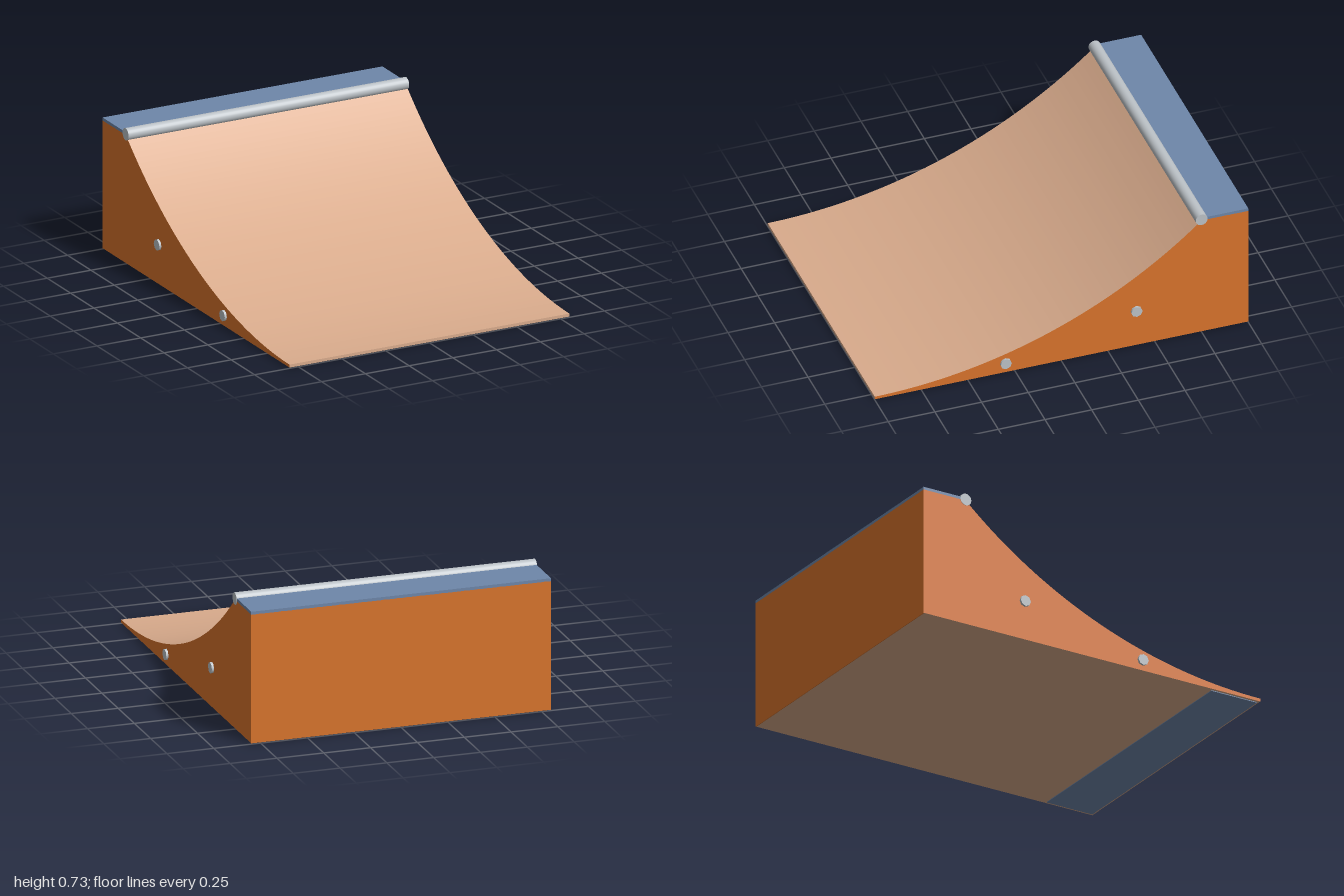
import * as THREE from 'three';

const mat = (name, color) => {
  const m = new THREE.MeshStandardMaterial({ color });
  m.name = name;
  return m;
};

export function createModel() {
  const orange = mat('orange paint', 0xd9742c);
  const tan = mat('tan plywood', 0xd9ab8c);
  const blue = mat('blue steel', 0x6e87aa);
  const metal = mat('grey metal', 0xbcc2c7);

  const group = new THREE.Group();
  group.name = 'quarterPipeRamp';
  const add = (name, geometry, material, x, y, z) => {
    const mesh = new THREE.Mesh(geometry, material);
    mesh.name = name;
    mesh.position.set(x, y, z);
    group.add(mesh);
    return mesh;
  };

  // Ramp body: side profile (z, y) with a circular arc, extruded across the width
  const width = 1.6, radius = 2.62, lip = 0.02, base = 0.004, top = 0.69, back = -0.996;
  const profile = new THREE.Shape();
  profile.moveTo(back, base);
  profile.lineTo(1, base);
  const endAngle = Math.acos(1 - (top - lip) / radius);
  const steps = 56;
  for (let i = 0; i <= steps; i++) {
    const a = (endAngle * i) / steps;
    profile.lineTo(1 - radius * Math.sin(a), lip + radius * (1 - Math.cos(a)));
  }
  profile.lineTo(back, top);
  profile.closePath();
  const body = new THREE.ExtrudeGeometry(profile, { depth: width, bevelEnabled: false });
  body.rotateY(-Math.PI / 2);
  add('rampBody', body, [orange, tan], width / 2, 0, 0);

  // Painted back panel
  add('backPanel', new THREE.BoxGeometry(width, top - base, 0.004), orange,
    0, (top + base) / 2, -0.998);

  // Platform at the top
  add('platform', new THREE.BoxGeometry(width, 0.016, 0.25), blue, 0, 0.697, -0.875);

  // Steel strip under the front edge
  add('frontStrip', new THREE.BoxGeometry(1.57, 0.004, 0.27), blue, 0, 0.002, 0.855);

  // Round coping along the lip
  const coping = new THREE.CylinderGeometry(0.032, 0.032, 1.604, 24);
  coping.rotateZ(Math.PI / 2);
  add('coping', coping, metal, 0, 0.695, -0.75);

  // Bolts on both sides
  const bolt = new THREE.CylinderGeometry(0.03, 0.03, 0.024, 8);
  bolt.rotateZ(Math.PI / 2);
  for (const side of [-1, 1]) {
    for (const [y, z] of [[0.06, 0.3], [0.215, -0.4]]) {
      add(side > 0 ? 'leftBolt' : 'rightBolt', bolt, metal, side * 0.8, y, z);
    }
  }

  return group;
}
